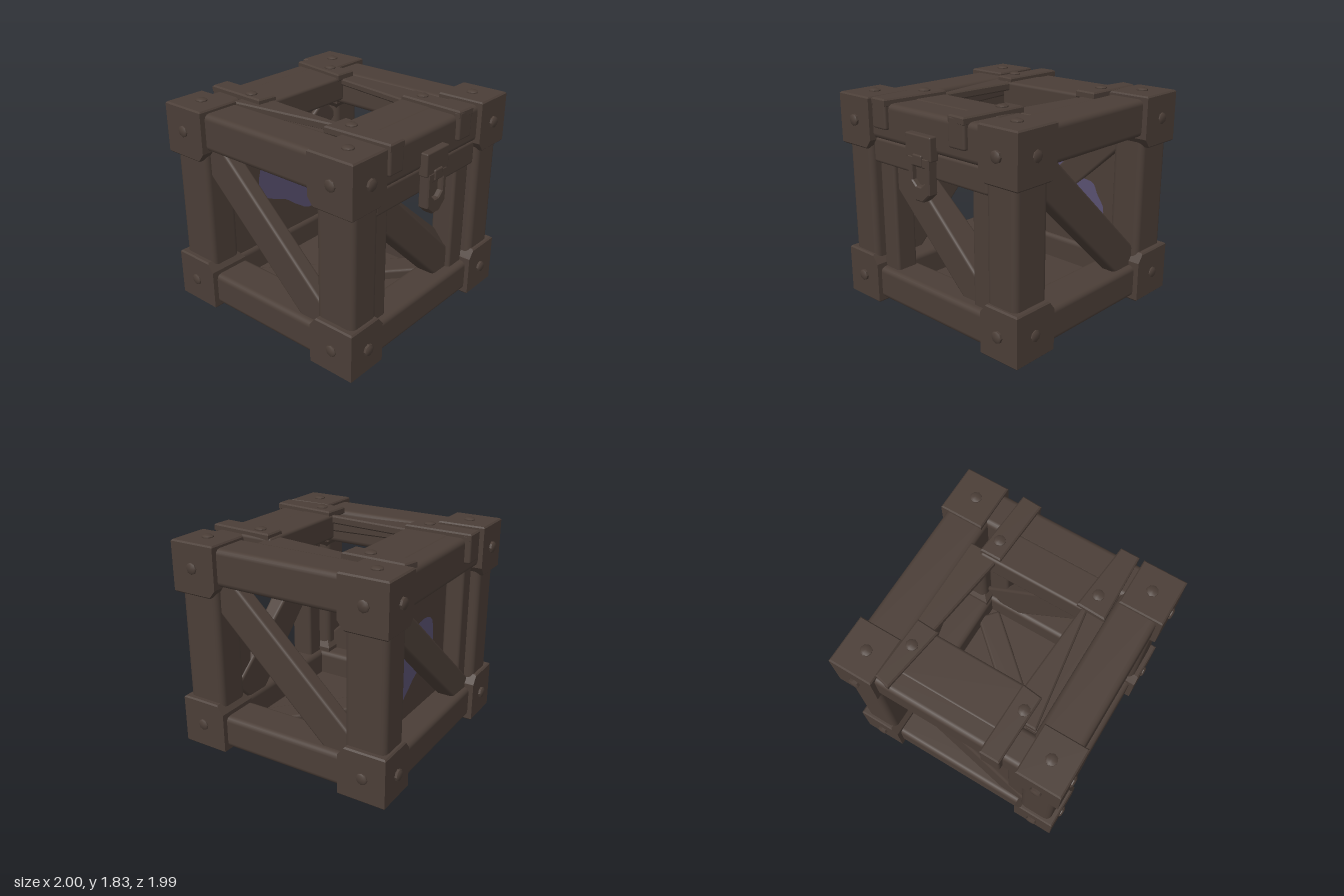
import * as THREE from 'three';
import { RoundedBoxGeometry } from 'three/addons/geometries/RoundedBoxGeometry.js';
import { toCreasedNormals } from 'three/addons/utils/BufferGeometryUtils.js';

export function createModel() {
  const model = new THREE.Group();
  const wood = new THREE.MeshStandardMaterial({ color: 0x4b3e37 });
  wood.name = 'dark brown';
  const stain = new THREE.MeshStandardMaterial({ color: 0x595070, side: THREE.DoubleSide });
  stain.name = 'dusty purple';

  function add(name, geometry, material = wood) {
    const mesh = new THREE.Mesh(geometry, material);
    mesh.name = name;
    model.add(mesh);
    return mesh;
  }
  // Softly bevelled box given by its extents
  function block(name, x0, x1, y0, y1, z0, z1, r = 0.025) {
    const m = add(name, new RoundedBoxGeometry(x1 - x0, y1 - y0, z1 - z0, 2, r));
    m.position.set((x0 + x1) / 2, (y0 + y1) / 2, (z0 + z1) / 2);
    return m;
  }
  // Flat bevelled board from a plan outline of [x, z] corners
  function board(name, outline, y0, y1) {
    const shape = new THREE.Shape(outline.map(([x, z]) => new THREE.Vector2(x, -z)));
    const b = 0.012;
    const g = new THREE.ExtrudeGeometry(shape, {
      depth: y1 - y0 - 2 * b, bevelThickness: b, bevelSize: b, bevelOffset: -b, bevelSegments: 1,
    });
    g.rotateX(-Math.PI / 2);
    g.translate(0, y0 + b, 0);
    return add(name, g);
  }
  // Low domed bolt pointing along a direction
  const boltGeometry = toCreasedNormals(new THREE.LatheGeometry(
    [[0.048, -0.02], [0.048, 0.014], [0.034, 0.024], [0, 0.026]].map(([r, y]) => new THREE.Vector2(r, y)), 8), 0.7);
  function bolt(x, y, z, dx, dy, dz) {
    const m = add('bolt', boltGeometry);
    m.position.set(x, y, z);
    m.quaternion.setFromUnitVectors(new THREE.Vector3(0, 1, 0), new THREE.Vector3(dx, dy, dz));
  }

  // Corner cap: stacked plan sections, tapering on the inner sides towards the post
  function cornerCap(sx, sy, sz) {
    // each row: [height, inner x, inner z, outer inset]
    const rows = [[0, 0.62, 0.56, 0.012], [0.012, 0.61, 0.55, 0], [0.35, 0.61, 0.55, 0],
      [0.415, 0.66, 0.6, 0], [0.427, 0.67, 0.61, 0.012]];
    const pos = [], idx = [];
    for (const [h, ix, iz, e] of rows) {
      const y = sy > 0 ? 1.8 - h : 0.025 + h;
      for (const [x, z] of [[ix, iz], [0.98 - e, iz], [0.98 - e, 0.96 - e], [ix, 0.96 - e]]) pos.push(sx * x, y, sz * z);
    }
    const flip = sx * sy * sz > 0;
    const quad = (a, b, c, d) => flip ? idx.push(a, b, c, a, c, d) : idx.push(a, c, b, a, d, c);
    for (let r = 0; r < rows.length - 1; r++) {
      for (let k = 0; k < 4; k++) {
        const n = (k + 1) % 4, a = r * 4;
        quad(a + k, a + n, a + 4 + n, a + 4 + k);
      }
    }
    quad(3, 2, 1, 0);
    const t = (rows.length - 1) * 4;
    quad(t, t + 1, t + 2, t + 3);
    const g = new THREE.BufferGeometry();
    g.setAttribute('position', new THREE.Float32BufferAttribute(pos, 3));
    g.setIndex(idx);
    add('cornerCap', toCreasedNormals(g, 0.3));
  }
  for (const sx of [-1, 1]) for (const sz of [-1, 1]) {
    for (const sy of [-1, 1]) {
      cornerCap(sx, sy, sz);
      const y = sy > 0 ? 1.595 : 0.235;
      bolt(sx * 0.79, y, sz * 0.965, 0, 0, sz);
      bolt(sx * 0.975, y, sz * 0.765, sx, 0, 0);
      bolt(sx * 0.785, sy > 0 ? 1.795 : 0.03, sz * 0.755, 0, sy, 0);
    }
    // Corner posts
    const post = block('post', -0.145, 0.145, 0.3, 1.5, -0.175, 0.175, 0.05);
    post.position.x = sx * 0.79;
    post.position.z = sz * 0.755;
  }

  // Horizontal beams
  for (const [y0, y1] of [[0.06, 0.34], [1.465, 1.77]]) {
    block('leftBeam', 0.595, 0.935, y0, y1, -0.7, 0.7, 0.045);
    block('rightBeam', -0.935, -0.585, y0, y1, -0.7, 0.7, 0.045);
    block('frontBeam', -0.75, 0.75, y0, y1, 0.62, 0.92, 0.045);
    block('backBeam', -0.75, 0.75, y0, y1, -0.92, -0.64, 0.045);
  }

  // Front frame inside the posts, and one upright at the back
  block('frontLintel', -0.65, 0.64, 1.26, 1.47, 0.66, 0.9);
  block('frontUpright', -0.63, -0.45, 0.3, 1.3, 0.66, 0.86);
  block('frontUpright', 0.44, 0.635, 0.3, 1.3, 0.66, 0.86);
  block('backUpright', -0.64, -0.48, 0.3, 1.5, -0.86, -0.7);

  // Diagonal braces: one per wall, plus one on the floor
  function brace(name, a, b, width, depth, outward) {
    const A = new THREE.Vector3(...a), B = new THREE.Vector3(...b);
    const along = B.clone().sub(A);
    const m = add(name, new RoundedBoxGeometry(along.length(), width, depth, 2, 0.025));
    m.position.copy(A).add(B).multiplyScalar(0.5);
    along.normalize();
    const up = new THREE.Vector3(...outward).cross(along).normalize();
    m.quaternion.setFromRotationMatrix(new THREE.Matrix4().makeBasis(along, up, along.clone().cross(up)));
    return m;
  }
  brace('leftBrace', [0.81, 1.44, 0.61], [0.81, 0.29, -0.61], 0.295, 0.14, [1, 0, 0]);
  brace('rightBrace', [-0.81, 1.44, -0.61], [-0.81, 0.29, 0.61], 0.295, 0.14, [-1, 0, 0]);
  brace('backBrace', [0.61, 1.42, -0.7], [-0.61, 0.3, -0.8], 0.25, 0.16, [0, 0, -1]);
  brace('floorBrace', [-0.58, 0.14, -0.5], [0.58, 0.14, 0.53], 0.22, 0.13, [0, 1, 0]);

  // Front brace, its upper back edge flaring towards the lower end
  const frontBrace = brace('frontBrace', [-0.52, 1.28, 0.73], [0.5, 0.3, 0.73], 0.27, 0.18, [0, 0, 1]);
  const fp = frontBrace.geometry.attributes.position;
  for (let i = 0; i < fp.count; i++) {
    if (fp.getX(i) > 0 && fp.getY(i) > 0 && fp.getZ(i) < 0) fp.setY(i, fp.getY(i) + 0.11);
  }

  // Back and floor panels
  block('backPanel', -0.66, 0.66, 0.3, 1.5, -0.69, -0.67, 0.004);
  block('floorPanel', -0.62, 0.62, 0.1, 0.12, -0.68, 0.66, 0.004);

  // Irregular stain on both faces of the back panel
  const outline = [[-0.3, 0.84], [-0.27, 1.06], [-0.1, 1.12], [0.1, 1.06], [0.2, 0.97], [0.38, 0.94],
    [0.44, 0.84], [0.51, 0.72], [0.48, 0.52], [0.34, 0.46], [0.16, 0.56], [0.02, 0.66], [-0.18, 0.74]];
  const blob = new THREE.Shape(new THREE.SplineCurve(
    [...outline, outline[0]].map(([x, y]) => new THREE.Vector2(x, y))).getPoints(40));
  for (const z of [-0.693, -0.667]) add('stain', new THREE.ShapeGeometry(blob), stain).position.z = z;

  // Lid planks
  block('frontLidPlank', -0.42, 0.51, 1.56, 1.775, 0.36, 0.67);
  block('backLidPlank', -0.42, 0.5, 1.56, 1.775, -0.77, -0.37);
  board('rightLidPlank', [[-0.58, -0.62], [-0.34, -0.62], [-0.34, -0.37], [-0.39, 0.42], [-0.43, 0.42]], 1.7, 1.77);
  board('rightLidFiller', [[-0.61, -0.62], [-0.5, -0.62], [-0.42, 0.42], [-0.61, 0.42]], 1.62, 1.71);
  board('leftLidPlank', [[0.47, -0.42], [0.62, -0.42], [0.62, 0.42], [0.36, 0.42]], 1.7, 1.76);

  // Straps: a tapered plate on top with a folded end over the beam
  const straps = [
    { plan: [[-0.59, 0.36], [-0.35, 0.37], [-0.41, 0.955], [-0.57, 0.955]], fold: [-0.57, -0.41], dir: 1, pin: [-0.455, 0.51] },
    { plan: [[0.33, 0.38], [0.51, 0.38], [0.47, 0.96], [0.3, 0.95]], fold: [0.3, 0.47], dir: 1, pin: [0.42, 0.52] },
    { plan: [[-0.485, -0.97], [-0.32, -0.97], [-0.33, -0.38], [-0.5, -0.4]], fold: [-0.485, -0.32], dir: -1, pin: [-0.44, -0.55] },
    { plan: [[0.49, -0.91], [0.62, -0.88], [0.6, -0.35], [0.41, -0.36]], pin: [0.52, -0.55] },
  ];
  for (const { plan, fold, dir, pin } of straps) {
    board('strap', plan, 1.745, 1.81);
    if (fold) block('strapFold', fold[0], fold[1], 1.565, 1.8, dir > 0 ? 0.89 : -0.97, dir > 0 ? 0.955 : -0.89, 0.018);
    bolt(pin[0], 1.805, pin[1], 0, 1, 0);
  }

  // Latch: back plate, pointed hasp with a slot, and a staple
  block('latchPlate', -0.15, 0.135, 1.42, 1.61, 0.9, 0.98, 0.012);
  const shield = (w, top, low, tip) => [[-w, top], [-w, low], [-w * 0.35, tip], [w * 0.35, tip], [w, low], [w, top]]
    .map(([x, y]) => new THREE.Vector2(x, y));
  const hasp = new THREE.Shape(shield(0.12, 1.44, 1.16, 1.09));
  hasp.holes.push(new THREE.Path(shield(0.07, 1.36, 1.25, 1.21).reverse()));
  add('hasp', new THREE.ExtrudeGeometry(hasp, {
    depth: 0.07, bevelThickness: 0.01, bevelSize: 0.01, bevelOffset: -0.01, bevelSegments: 1,
  })).position.set(-0.008, 0, 0.905);
  block('haspBack', -0.1, 0.085, 1.17, 1.42, 0.9, 0.94, 0.01);
  block('staple', -0.06, 0.045, 1.37, 1.46, 0.92, 0.995, 0.012);

  return model;
}
